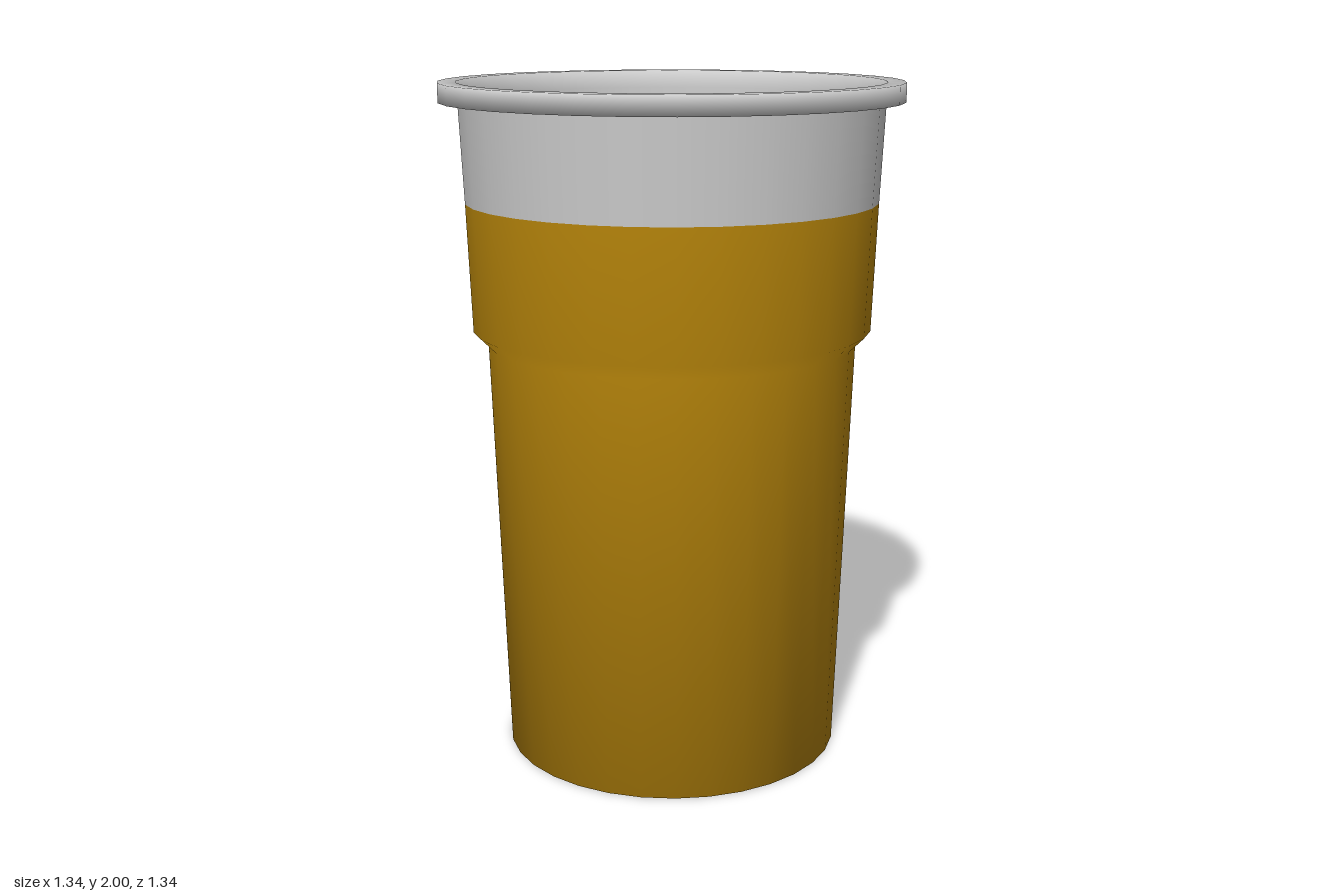
import * as THREE from 'three';

const SEGMENTS = 32;
const FILL = 1.66; // liquid level
const FILL_RADIUS = 0.602;

export function createModel() {
  const group = new THREE.Group();
  const plastic = new THREE.MeshStandardMaterial({ color: 0xcccccc, side: THREE.DoubleSide });
  const amber = new THREE.MeshStandardMaterial({ color: 0xb8860b, side: THREE.DoubleSide });

  // Revolves a profile of [radius, height] pairs
  const turn = (name, profile, material) => {
    const points = profile.map(([r, y]) => new THREE.Vector2(r, y));
    const mesh = new THREE.Mesh(new THREE.LatheGeometry(points, SEGMENTS), material);
    mesh.name = name;
    group.add(mesh);
  };

  // Filled body with its base and stepped shoulder
  turn('filledBody', [
    [0, 0], [0.503, 0], [0.545, 1.245], [0.588, 1.288], [FILL_RADIUS, FILL],
  ], amber);

  // Flat liquid surface
  turn('liquidSurface', [[FILL_RADIUS, FILL], [0, FILL]], amber);

  // Empty wall above the liquid
  turn('upperWall', [[FILL_RADIUS, FILL], [0.615, 1.945]], plastic);

  // Rolled lip, a square section with soft shading
  turn('rim', [
    [0.615, 1.945], [0.67, 1.945], [0.67, 2], [0.617, 2], [0.615, 1.945],
  ], plastic);

  return group;
}
